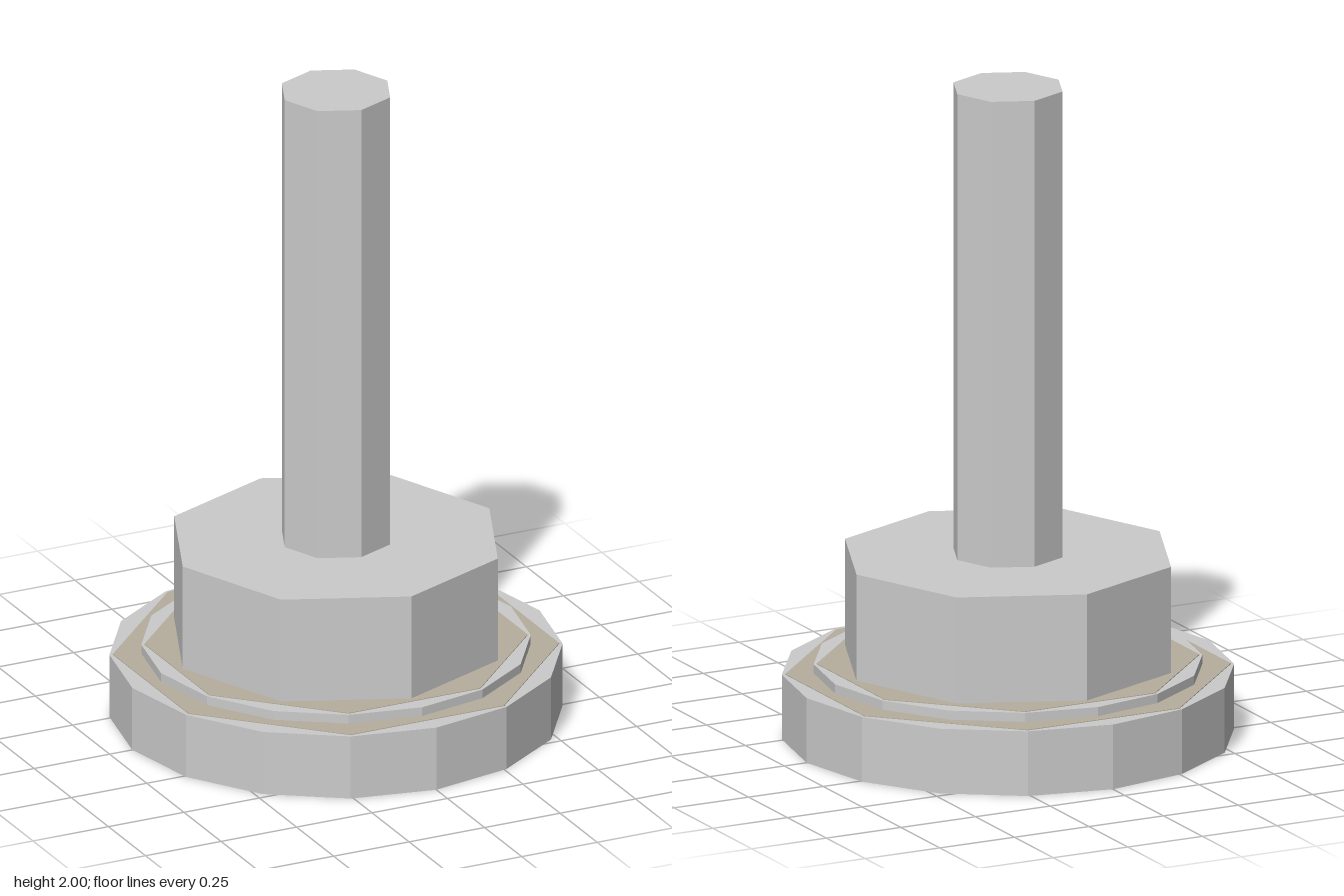
import * as THREE from 'three';

export function createModel() {
  const model = new THREE.Group();
  const grey = new THREE.MeshStandardMaterial({ color: 0xcccccc, flatShading: true });
  const tan = new THREE.MeshStandardMaterial({ color: 0xb6ae9c, flatShading: true });

  // Upright prism between two heights, with a corner on the z axis unless turned
  function prism(name, radius, bottom, top, sides, material = grey, turn = 0) {
    const geometry = new THREE.CylinderGeometry(radius, radius, top - bottom, sides);
    geometry.rotateY(turn);
    const mesh = new THREE.Mesh(geometry, material);
    mesh.name = name;
    mesh.position.y = (bottom + top) / 2;
    model.add(mesh);
  }

  // Stepped round base
  prism('baseDisc', 0.675, 0, 0.2, 16);
  prism('washer', 0.58, 0.2, 0.23, 16);

  // Thin octagonal inlays lying on the two steps
  prism('baseInlay', 0.665, 0.198, 0.202, 8, tan, Math.PI / 8);
  prism('washerInlay', 0.571, 0.228, 0.232, 8, tan, Math.PI / 8);

  // Octagonal collar and shaft
  prism('collar', 0.508, 0.23, 0.56, 8);
  prism('shaft', 0.17, 0.56, 2, 8);

  return model;
}
